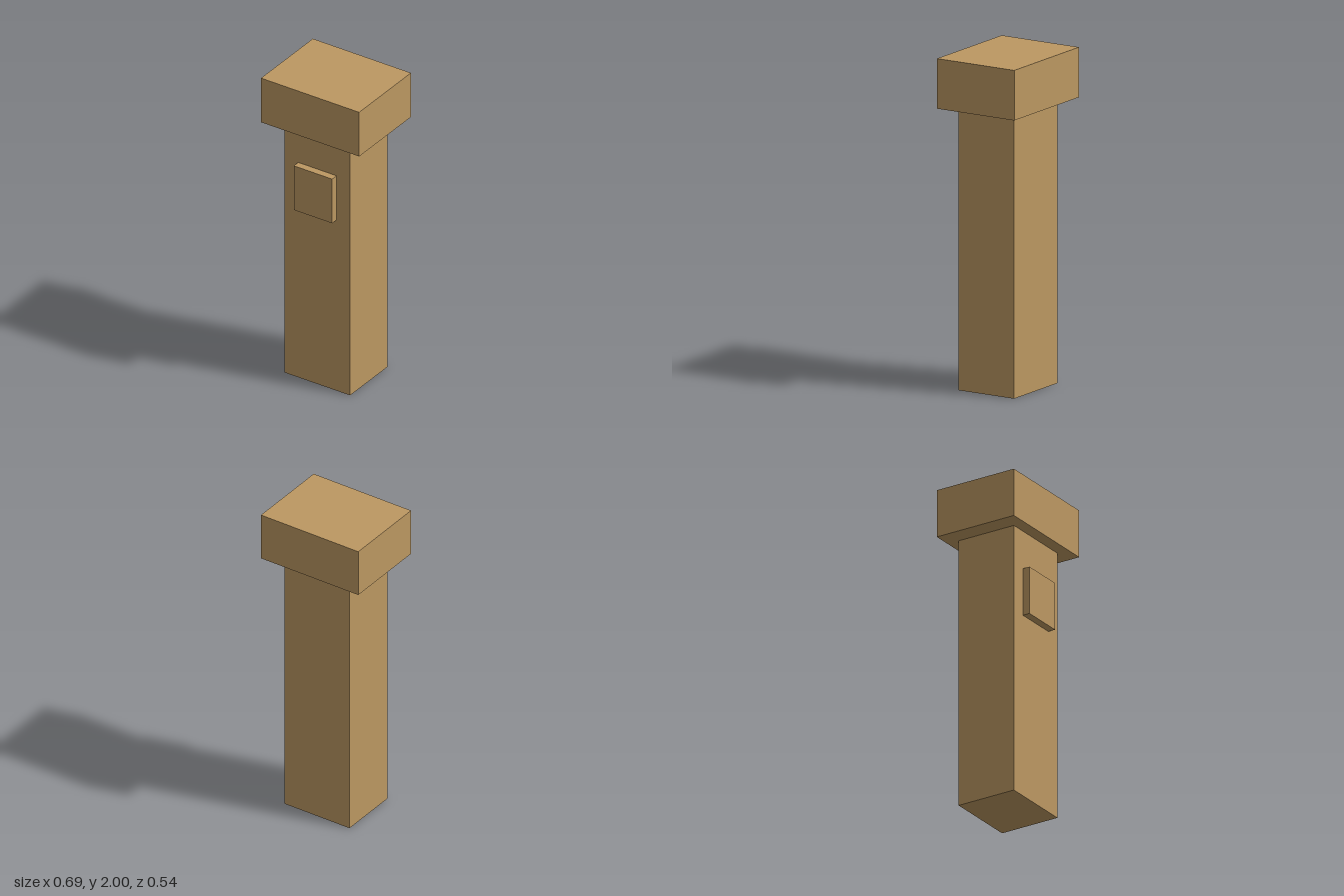
import * as THREE from 'three';

export function createModel() {
  const model = new THREE.Group();
  model.name = 'pillar';

  const wood = new THREE.MeshStandardMaterial({ color: 0xbc9862 });
  wood.name = 'tan wood';

  // Adds a box given its size, base height and depth centre
  function addBox(name, width, height, depth, baseY, z = 0) {
    const mesh = new THREE.Mesh(new THREE.BoxGeometry(width, height, depth), wood);
    mesh.name = name;
    mesh.position.set(0, baseY + height / 2, z);
    model.add(mesh);
  }

  // Shaft, overhanging cap, and raised panel on the front
  addBox('shaft', 0.46, 1.7, 0.386, 0);
  addBox('cap', 0.69, 0.3, 0.538, 1.7);
  addBox('frontPanel', 0.27, 0.3, 0.046, 1.16, 0.216);

  return model;
}
